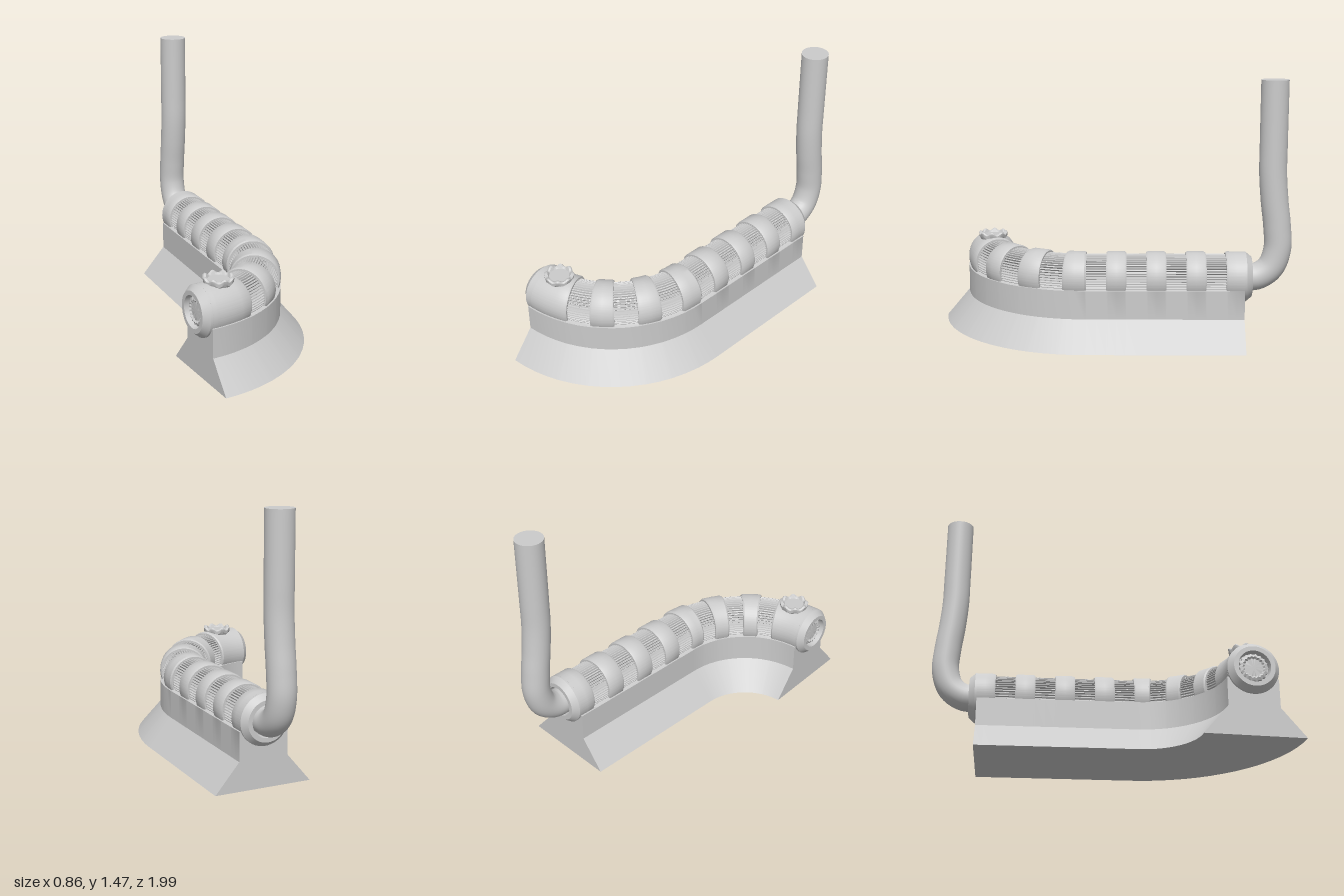
import * as THREE from 'three';
import { toCreasedNormals } from 'three/addons/utils/BufferGeometryUtils.js';

const material = new THREE.MeshStandardMaterial({ color: 0xcccccc, side: THREE.DoubleSide });
const R = 0.575, BEND = 0.146, START = -0.735, END = BEND + R * 1.5;
const AXIS_Y = 0.37, RAD = 0.14, RIBS = 32;

// Position, heading and outward direction at distance s along the spine
function frame(s) {
  const a = Math.max(0, (s - BEND) / R);
  const out = new THREE.Vector3(Math.cos(a), 0, Math.sin(a));
  const pos = new THREE.Vector3(0.15 - R, 0, Math.min(s, BEND)).addScaledVector(out, R);
  return { pos, out, angle: a };
}

function addMesh(group, name, geometry, crease = 0.6) {
  const mesh = new THREE.Mesh(toCreasedNormals(geometry, crease), material);
  mesh.name = name;
  group.add(mesh);
  return mesh;
}

// Cross-section: flared foot, upright walls and a round top (ribbed inside the grooves)
function section(radius, ribbed) {
  const right = [[0.275, 0], [RAD, 0.16], [RAD, 0.32]];
  const left = right.map(([u, y]) => [-u, y]).reverse();
  const a0 = -Math.asin(0.05 / RAD), n = RIBS * 4 + 1;
  const top = [];
  for (let i = 0; i <= n; i++) {
    const a = a0 + (Math.PI - 2 * a0) * i / n;
    const r = ribbed ? (i % 4 < 2 ? 0.126 : 0.115) : radius;
    top.push([r * Math.cos(a), Math.max(0.32, AXIS_Y + r * Math.sin(a))]);
  }
  return [...right, ...top, ...left];
}

// Body lofted along the spine, with a ribbed groove at every step
function bodyGeometry() {
  const stations = [];
  const run = (from, to, ribbed) => {
    const n = Math.max(1, Math.ceil((to - from) / 0.06));
    for (let i = 0; i <= n; i++) stations.push([from + (to - from) * i / n, section(RAD, ribbed)]);
  };
  let s = START;
  for (let k = 0; k < 7; k++) {
    const a = -0.58 + 0.22 * k - 0.055, b = a + 0.11;
    if (k > 0) stations.push([s, section(0.134, false)]);
    run(k > 0 ? s + 0.01 : s, a - 0.01, false);
    stations.push([a, section(0.134, false)]);
    run(a, b, true);
    s = b;
  }
  stations.push([s, section(0.134, false)]);
  run(s + 0.01, END, false);

  const pos = [], index = [], n = stations[0][1].length;
  const push = (f, u, y) => pos.push(f.pos.x + f.out.x * u, y, f.pos.z + f.out.z * u);
  for (const [d, pts] of stations) {
    const f = frame(d);
    for (const [u, y] of pts) push(f, u, y);
  }
  for (let j = 0; j < stations.length - 1; j++) {
    for (let i = 0; i < n; i++) {
      const a = j * n + i, b = j * n + (i + 1) % n;
      index.push(a, b, b + n, a, b + n, a + n);
    }
  }
  // End walls
  const last = (stations.length - 1) * n, c = pos.length / 3;
  push(frame(START), 0, 0.3);
  push(frame(END), 0, 0.3);
  for (let i = 0; i < n; i++) {
    const k = (i + 1) % n;
    index.push(c, k, i, c + 1, last + i, last + k);
  }
  const g = new THREE.BufferGeometry();
  g.setAttribute('position', new THREE.Float32BufferAttribute(pos, 3));
  g.setIndex(index);
  return g;
}

function lathe(points, segments = 48) {
  return new THREE.LatheGeometry(points.map(p => new THREE.Vector2(...p)), segments);
}

// Chamfered, recessed collar whose local y axis points out of the body end
function collar(name, s, yaw) {
  const g = new THREE.Group();
  g.name = name;
  addMesh(g, 'collarRing', lathe([
    [RAD, -0.03], [RAD, 0.012], [0.112, 0.045], [0.088, 0.045], [0.084, 0.002], [0, 0.002],
  ]));
  g.position.copy(frame(s).pos).setY(AXIS_Y);
  g.rotation.set(Math.PI / 2, 0, 0);
  g.rotation.order = 'YXZ';
  g.rotation.y = yaw;
  return g;
}

export function createModel() {
  const model = new THREE.Group();
  addMesh(model, 'body', bodyGeometry(), 0.55);

  const backCollar = collar('backCollar', START, Math.PI);
  const frontCollar = collar('frontCollar', END, -frame(END).angle);
  model.add(backCollar, frontCollar);

  // Fluted plug inside the front collar
  const plug = lathe([[0.076, 0], [0.076, 0.022], [0.06, 0.03], [0.05, 0.022], [0, 0.022]], 72);
  const pp = plug.attributes.position;
  for (let i = 0; i < pp.count; i++) {
    const k = 1 + 0.05 * Math.cos(18 * Math.atan2(pp.getZ(i), pp.getX(i)));
    pp.setXYZ(i, pp.getX(i) * k, pp.getY(i), pp.getZ(i) * k);
  }
  addMesh(frontCollar, 'endPlug', plug);

  // Crown-shaped knob with a wavy rim
  const knob = lathe([
    [0.06, -0.03], [0.066, 0], [0.08, 0.022], [0.082, 0.042], [0.074, 0.049],
    [0.063, 0.045], [0.057, 0.03], [0, 0.03],
  ], 96);
  const kp = knob.attributes.position;
  for (let i = 0; i < kp.count; i++) {
    const x = kp.getX(i), y = kp.getY(i), z = kp.getZ(i);
    const wave = Math.cos(8 * Math.atan2(z, x));
    const rim = Math.hypot(x, z) > 0.06 && y > 0.01 ? 1 : 0;
    const k = 1 + 0.03 * wave * rim;
    kp.setXYZ(i, x * k, y + 0.007 * (wave - 0.6) * rim, z * k);
  }
  addMesh(model, 'knob', knob).position.copy(frame(0.895).pos).setY(0.487);

  // Bent stack pipe rising from the back collar
  const path = new THREE.CatmullRomCurve3([
    [0.37, -0.73], [0.373, -0.81], [0.425, -0.885], [0.53, -0.922], [0.66, -0.917],
    [0.80, -0.9], [0.95, -0.888], [1.1, -0.887], [1.465, -0.887],
  ].map(([y, z]) => new THREE.Vector3(0.152, y, z)));
  addMesh(model, 'stackPipe', new THREE.TubeGeometry(path, 64, 0.076, 32, false));
  const cap = addMesh(model, 'pipeTop', new THREE.CircleGeometry(0.076, 32));
  cap.rotation.x = -Math.PI / 2;
  cap.position.set(0.152, 1.465, -0.887);

  return model;
}
